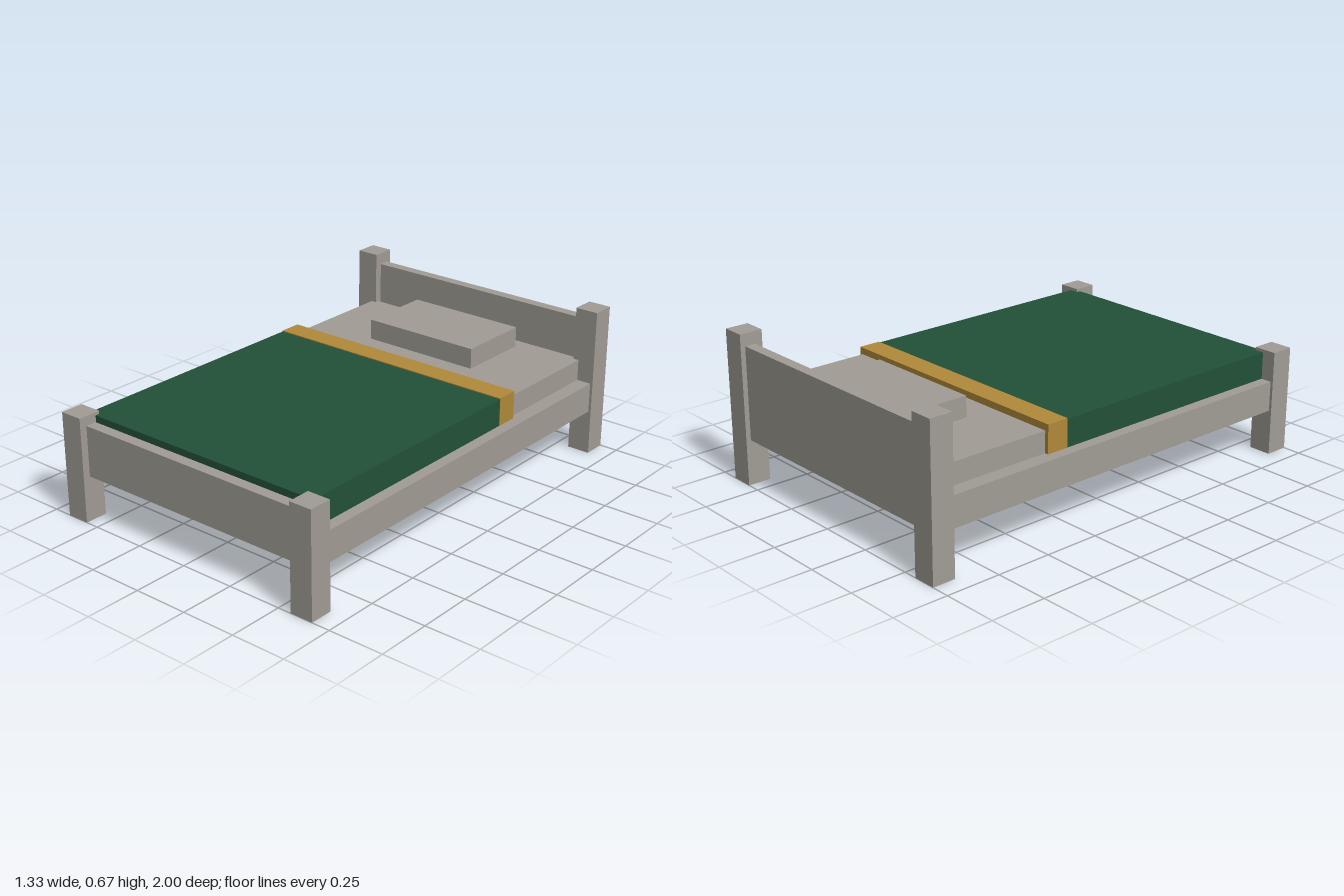
import * as THREE from 'three';

// Box given by its limits on each axis; open = true leaves out the bottom face
function boxBetween(x0, x1, y0, y1, z0, z1, open = false) {
  const geo = new THREE.BoxGeometry(x1 - x0, y1 - y0, z1 - z0);
  if (open) {
    const index = Array.from(geo.index.array);
    index.splice(18, 6);
    geo.setIndex(index);
    geo.clearGroups();
  }
  geo.translate((x0 + x1) / 2, (y0 + y1) / 2, (z0 + z1) / 2);
  return geo;
}

export function createModel() {
  const group = new THREE.Group();
  const material = (name, color) => {
    const m = new THREE.MeshStandardMaterial({ color, side: THREE.DoubleSide });
    m.name = name;
    return m;
  };
  const grey = material('warmGrey', 0xa19d95);
  const green = material('darkGreen', 0x225138);
  const ochre = material('ochre', 0xb08a39);

  const add = (name, geo, mat) => {
    const mesh = new THREE.Mesh(geo, mat);
    mesh.name = name;
    group.add(mesh);
  };

  // Posts and side rails, mirrored left and right
  for (const [side, s] of [['left', 1], ['right', -1]]) {
    const span = (a, b) => (s > 0 ? [a, b] : [-b, -a]);
    const post = span(0.562, 0.667);
    add(side + 'HeadPost', boxBetween(...post, 0, 0.67, -1, -0.895), grey);
    add(side + 'FootPost', boxBetween(...post, 0, 0.47, 0.895, 1), grey);
    add(side + 'Rail', boxBetween(...span(0.585, 0.655), 0.2, 0.335, -0.91, 0.91), grey);
  }

  // End boards
  add('headboard', boxBetween(-0.565, 0.565, 0.2, 0.615, -0.978, -0.93), grey);
  add('footboard', boxBetween(-0.565, 0.565, 0.2, 0.427, 0.917, 0.967), grey);

  // Bedding: shells open underneath
  add('mattress', boxBetween(-0.588, 0.588, 0.335, 0.43, -0.915, 0.91, true), grey);
  add('blanket', boxBetween(-0.604, 0.604, 0.335, 0.456, -0.368, 0.915, true), green);
  add('blanketFold', boxBetween(-0.605, 0.605, 0.334, 0.46, -0.37, -0.268, true), ochre);
  add('pillow', boxBetween(-0.28, 0.28, 0.43, 0.522, -0.853, -0.509), grey);

  return group;
}
